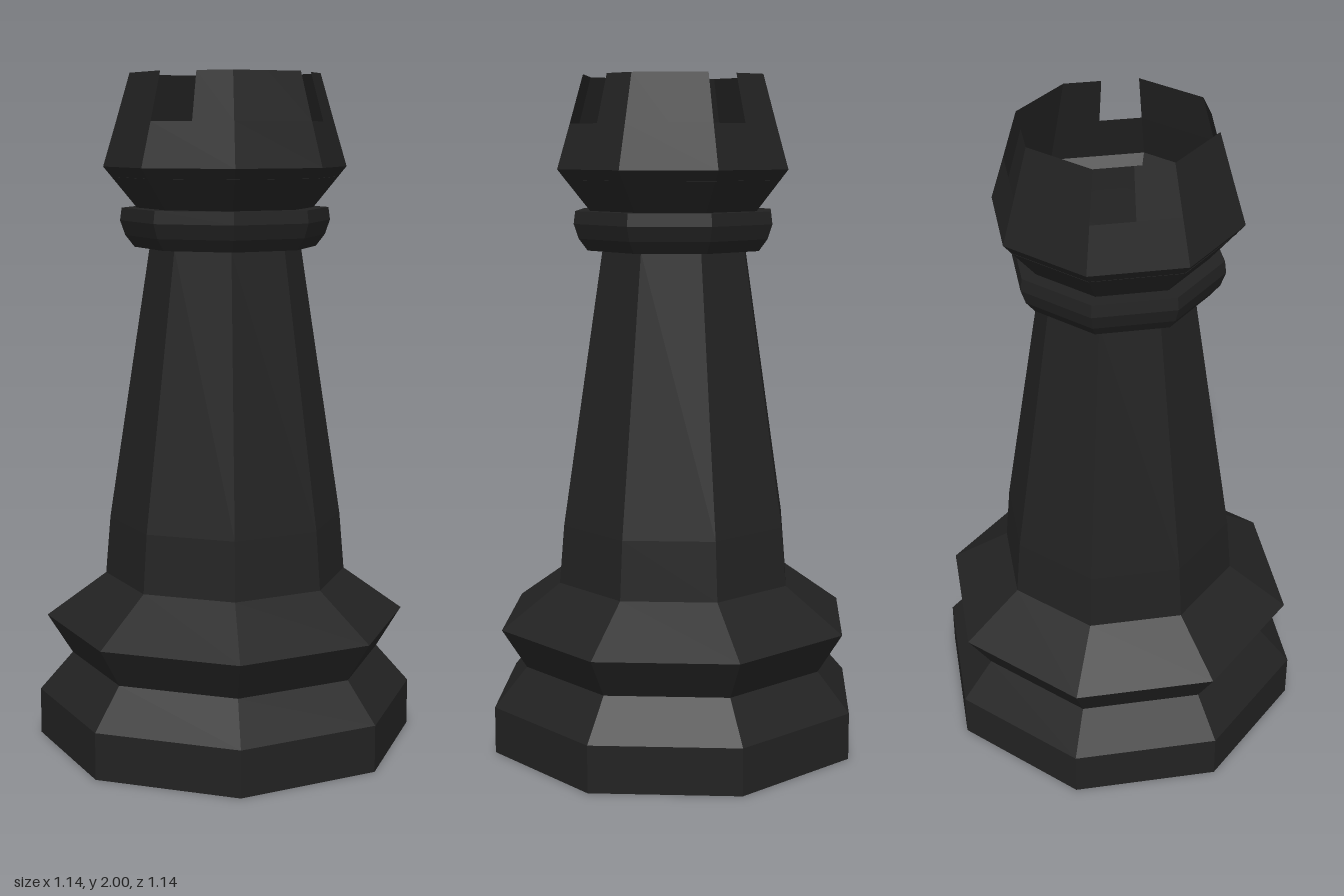
import * as THREE from 'three';

const SIDES = 8;

// Octagonal turned part; profile is [radius, height] pairs from bottom to top
function turned(name, profile, material) {
  const points = profile.map(([r, y]) => new THREE.Vector2(r, y));
  const mesh = new THREE.Mesh(new THREE.LatheGeometry(points, SIDES), material);
  mesh.name = name;
  return mesh;
}

// Battlement wall: half-facets that fold around one corner of the octagon
function merlonGeometry(bottom, top, halves) {
  const positions = [];
  const index = [];
  for (let i = 0; i <= halves; i++) {
    const step = i + 1; // even steps are octagon corners, odd ones facet middles
    const angle = -Math.PI / 4 + step * Math.PI / 8;
    const k = step % 2 ? Math.cos(Math.PI / 8) : 1;
    for (const [r, y] of [bottom, top]) {
      positions.push(r * k * Math.sin(angle), y, r * k * Math.cos(angle));
    }
    if (i < halves) {
      const a = i * 2;
      index.push(a, a + 2, a + 1, a + 2, a + 3, a + 1);
    }
  }
  const geometry = new THREE.BufferGeometry();
  geometry.setAttribute('position', new THREE.Float32BufferAttribute(positions, 3));
  geometry.setIndex(index);
  geometry.computeVertexNormals();
  return geometry;
}

export function createModel() {
  const group = new THREE.Group();
  group.name = 'rook';
  const solid = new THREE.MeshStandardMaterial({ color: 0x222222, flatShading: true });
  const thin = solid.clone();
  thin.side = THREE.DoubleSide;

  // Stepped foot
  group.add(turned('base', [
    [0, 0], [0.57, 0], [0.57, 0.14], [0.47, 0.255], [0.545, 0.375], [0.365, 0.505], [0, 0.505],
  ], solid));

  // Tapering shaft
  group.add(turned('column', [[0.365, 0.505], [0.35, 0.68], [0.225, 1.495], [0.22, 1.61]], solid));

  // Rounded ring under the head
  group.add(turned('collar', [
    [0.2, 1.495], [0.27, 1.495], [0.297, 1.53], [0.312, 1.573], [0.307, 1.61], [0, 1.61],
  ], solid));

  // Hollow head and its floor
  const bottom = [0.321, 1.86];
  group.add(turned('head', [[0.262, 1.61], [0.36, 1.73], bottom], thin));
  group.add(turned('headFloor', [[0.337, 1.7], [0.117, 1.74], [0, 1.74]], solid));

  // Four merlons with a notch between each pair
  const geometry = merlonGeometry(bottom, [0.28, 2], 3);
  for (let i = 0; i < 4; i++) {
    const merlon = new THREE.Mesh(geometry, thin);
    merlon.name = 'merlon';
    merlon.rotation.y = i * Math.PI / 2;
    group.add(merlon);
  }
  return group;
}
